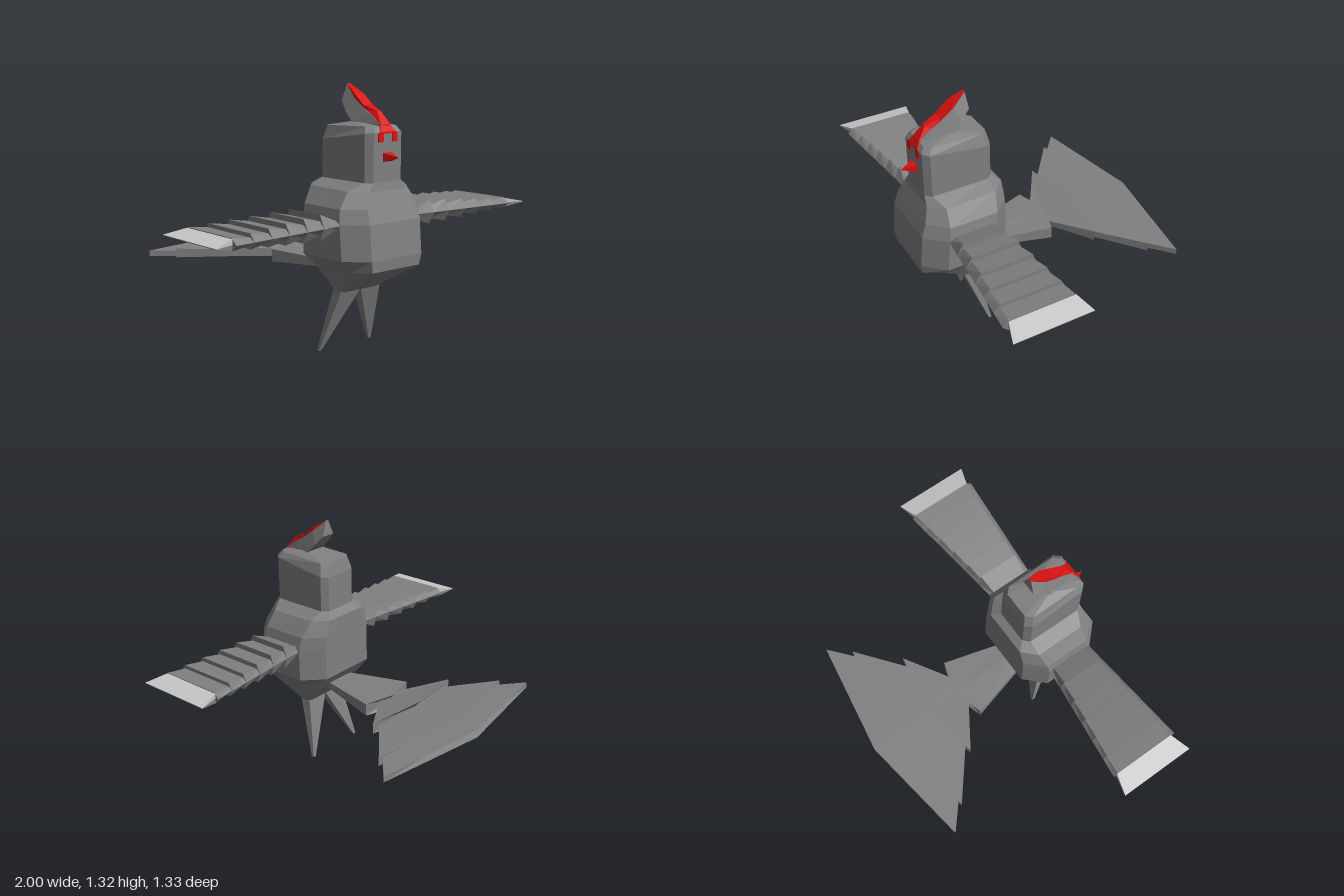
import * as THREE from 'three';

// Skin a list of equal-length rings of [x, y, z] points and cap both ends.
function loft(rings) {
  const tris = [];
  const n = rings[0].length;
  for (let r = 0; r < rings.length - 1; r++) {
    for (let i = 0; i < n; i++) {
      const j = (i + 1) % n;
      const a = rings[r][i], b = rings[r][j], c = rings[r + 1][j], d = rings[r + 1][i];
      tris.push([a, b, c], [a, c, d]);
    }
  }
  const cap = (ring, flip) => {
    const mid = [0, 1, 2].map(k => ring.reduce((s, p) => s + p[k], 0) / n);
    ring.forEach((p, i) => {
      const q = ring[(i + 1) % n];
      tris.push(flip ? [mid, q, p] : [mid, p, q]);
    });
  };
  cap(rings[0], true);
  cap(rings[rings.length - 1], false);
  // Turn the faces outward whatever the ring direction
  const centre = new THREE.Vector3(...rings[0][0]);
  let volume = 0;
  for (const t of tris) {
    const [a, b, c] = t.map(p => new THREE.Vector3(...p).sub(centre));
    volume += a.dot(b.cross(c));
  }
  const out = tris.flatMap(([a, b, c]) => (volume < 0 ? [a, c, b] : [a, b, c]));
  const geo = new THREE.BufferGeometry();
  geo.setAttribute('position', new THREE.Float32BufferAttribute(out.flat(), 3));
  geo.computeVertexNormals();
  return geo;
}

// Chamfered rectangle in plan, tilted between a back and a front height.
function octagon(yBack, yFront, hw, zb, zf, cx, cz) {
  const plan = [[hw - cx, zf], [hw, zf - cz], [hw, zb + cz], [hw - cx, zb],
    [-hw + cx, zb], [-hw, zb + cz], [-hw, zf - cz], [-hw + cx, zf]];
  return plan.map(([x, z]) => [x, yBack + (yFront - yBack) * (z - zb) / (zf - zb), z]);
}

const rect = (x0, x1, y, z0, z1) => [[x0, y, z0], [x1, y, z0], [x1, y, z1], [x0, y, z1]];

export function createModel() {
  const model = new THREE.Group();
  const material = (name, color) => {
    const m = new THREE.MeshStandardMaterial({ color });
    m.name = name;
    return m;
  };
  const grey = material('plumageGrey', 0x808080);
  const pale = material('tipPaleGrey', 0xc8c8c8);
  const red = material('red', 0xdd1111);
  const add = (name, rings, mat, parent = model) => {
    const mesh = new THREE.Mesh(loft(rings), mat);
    mesh.name = name;
    parent.add(mesh);
  };

  // Body, from the belly up to the shoulders
  add('body', [
    octagon(0.31, 0.31, 0.13, 0.35, 0.41, 0.02, 0.015),
    octagon(0.425, 0.455, 0.205, 0.25, 0.655, 0.05, 0.1),
    octagon(0.51, 0.51, 0.265, 0.185, 0.66, 0.1, 0.1),
    octagon(0.68, 0.68, 0.265, 0.185, 0.645, 0.1, 0.1),
    octagon(0.75, 0.75, 0.25, 0.185, 0.62, 0.09, 0.09),
    octagon(0.835, 0.825, 0.195, 0.185, 0.592, 0.07, 0.07),
    octagon(0.865, 0.865, 0.12, 0.225, 0.585, 0.03, 0.03),
  ], grey);

  // Head with a bevelled crown
  add('head', [
    octagon(0.86, 0.86, 0.12, 0.225, 0.585, 0.03, 0.03),
    octagon(1.05, 1.1, 0.12, 0.225, 0.585, 0.03, 0.03),
    octagon(1.12, 1.128, 0.1, 0.24, 0.565, 0.03, 0.03),
    octagon(1.145, 1.145, 0.05, 0.39, 0.42, 0.01, 0.01),
  ], grey);

  // Beak
  add('beak', [
    [[-0.03, 0.96, 0.58], [0.03, 0.96, 0.58], [0.03, 1.005, 0.58], [-0.03, 1.005, 0.58]],
    Array(4).fill([0, 0.985, 0.66]),
  ], red);

  // Crest: bottom z, y; top z, y; bottom half width; top half width
  const crest = [
    [0.57, 1.125, 0.57, 1.135, 0.03, 0.03],
    [0.46, 1.13, 0.5, 1.18, 0.05, 0.03],
    [0.4, 1.14, 0.45, 1.21, 0.06, 0.03],
    [0.35, 1.19, 0.385, 1.255, 0.055, 0.03],
    [0.305, 1.24, 0.31, 1.318, 0.04, 0.01],
  ];
  add('crest', crest.map(([zb, yb, zt, yt, wb, wt]) =>
    [[-wb, yb, zb], [wb, yb, zb], [wt, yt, zt], [-wt, yt, zt]]), grey);

  // Red ridge on top of the crest
  const ridgeTop = [[0.57, 1.137], [0.525, 1.195], [0.45, 1.222], [0.385, 1.275], [0.31, 1.321]];
  add('crestRidge', crest.map(([, , zt, yt, , w], i) => {
    const [z, y] = ridgeTop[i];
    const top = i === 1 ? 0.012 : w;
    return [[-w, yt - 0.005, zt], [w, yt - 0.005, zt], [top, y, z], [-top, y, z]];
  }), red);

  // Brow running down from the crest to the eyes
  const brow = (y, z, w) =>
    [[-w, y, z - 0.008], [w, y, z - 0.008], [w, y + 0.003, z + 0.003], [-w, y + 0.003, z + 0.003]];
  add('brow', [brow(1.135, 0.562, 0.03), brow(1.1, 0.585, 0.05), brow(1.092, 0.585, 0.05)], red);

  for (const s of [1, -1]) {
    const side = s > 0 ? 'left' : 'right';

    // Eye plate
    add(`${side}Eye`, [0.582, 0.589].map(z =>
      [[0.027, 1.055], [0.062, 1.055], [0.062, 1.1], [0.027, 1.1]].map(([x, y]) => [s * x, y, z])), red);

    // Tapered leg
    add(`${side}Leg`, [
      rect(0, s * 0.13, 0.315, 0.35, 0.41),
      rect(s * 0.162, s * 0.178, 0, 0.284, 0.3),
    ], grey);

    // Wing of overlapping segments that flare outward
    const wing = new THREE.Group();
    wing.name = `${side}Wing`;
    model.add(wing);
    const y0 = 0.675;
    const front = x => 0.545 + (x - 0.27) * 0.096;
    const back = x => 0.29 - (x - 0.27) * 0.123;
    const section = (x, h) => {
      const f = front(x), b = back(x), inset = 0.032;
      return [[y0, f], [y0 + h, f - inset], [y0 + h, b + inset * 0.6],
        [y0, b], [y0 - h, b + inset * 0.6], [y0 - h, f - inset]].map(([y, z]) => [s * x, y, z]);
    };
    const joints = [0.24, 0.365, 0.47, 0.58, 0.685, 0.79, 0.892];
    for (let i = 0; i < 6; i++) {
      const h = 0.063 - i * 0.007;
      add('wingSegment', [
        section(joints[i], i === 0 ? 0.015 : h * 0.6),
        section(joints[i + 1], h),
      ], grey, wing);
    }

    // Wing tip wedge, pale on top and grey beneath
    const half = (x, h) => [[y0, 0.575], [y0 + h, 0.575], [y0 + h, 0.23], [y0, 0.23]]
      .map(([y, z]) => [s * x, y, x > 0.95 ? (z > 0.4 ? 0.615 : 0.2) : z]);
    add('wingTipTop', [half(0.89, 0.025), half(1, 0.002)], pale, wing);
    add('wingTipUnderside', [half(0.89, -0.025), half(1, -0.002)], grey, wing);
  }

  // Fanned tail: each feather layer widens backward to a chevron edge
  const chevron = (w, zEdge, zMid, yLow, yEdge, yMid) => [
    [-w, yLow, zEdge], [0, yLow - 0.005, zMid], [w, yLow, zEdge],
    [w, yEdge, zEdge], [0, yMid, zMid], [-w, yEdge, zEdge]];
  const tail = new THREE.Group();
  tail.name = 'tail';
  model.add(tail);
  add('tailBase', [
    chevron(0.075, 0.27, 0.27, 0.405, 0.44, 0.445),
    chevron(0.17, 0.09, -0.14, 0.39, 0.455, 0.46).map(([x, y, z]) => [x, y, x === 0 ? z : -0.09]),
  ], grey, tail);
  const root = y => chevron(0.06, -0.09, -0.11, y - 0.012, y + 0.012, y + 0.012);
  add('upperTailFan', [root(0.425), chevron(0.32, -0.26, -0.315, 0.41, 0.465, 0.48)], grey, tail);
  add('middleTailFan', [root(0.42), chevron(0.52, -0.46, -0.55, 0.398, 0.445, 0.458)], grey, tail);
  add('lowerTailFan', [root(0.415), chevron(0.62, -0.57, -0.665, 0.4, 0.43, 0.437)], grey, tail);

  for (const m of [grey, pale, red]) m.flatShading = true;
  return model;
}
